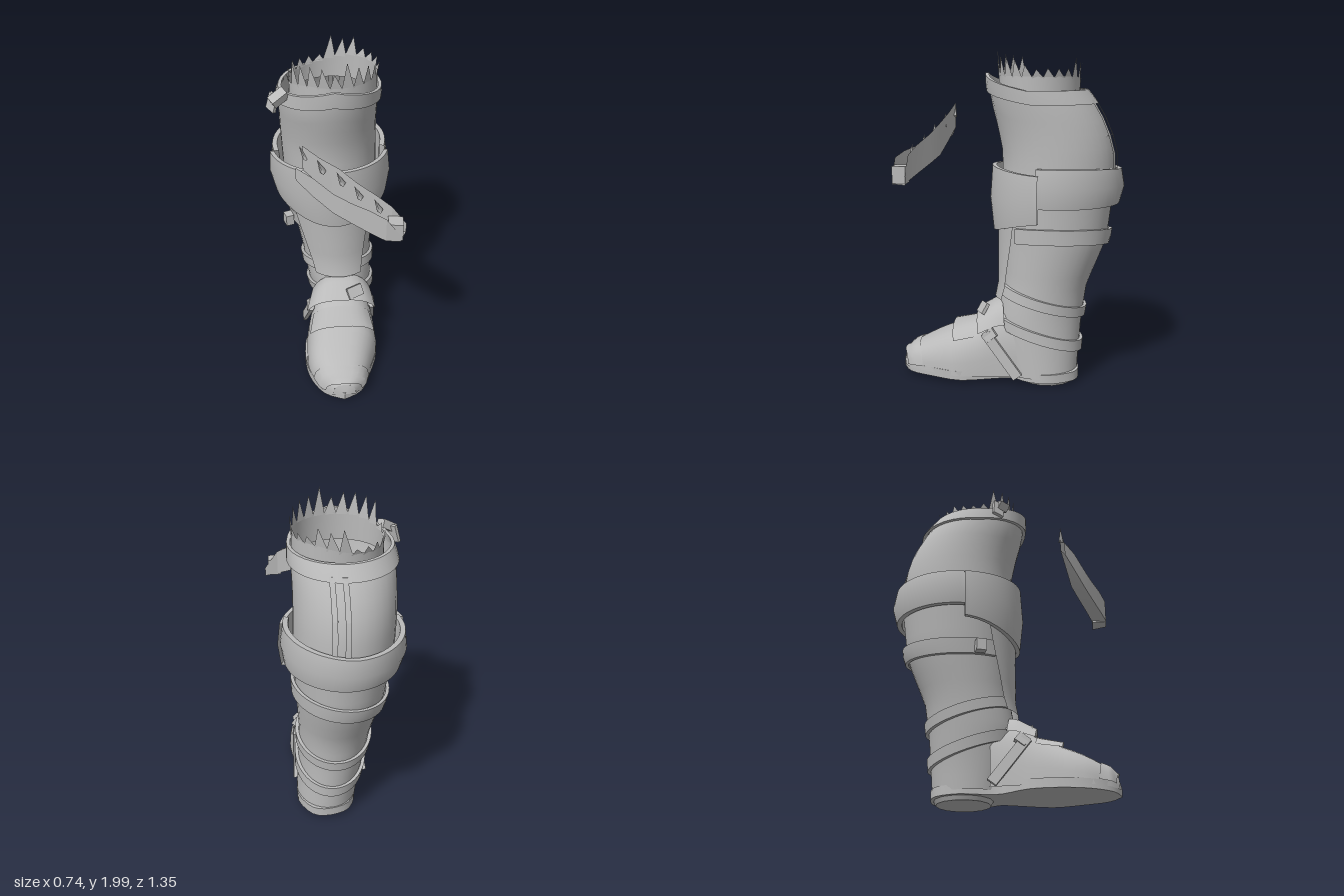
import * as THREE from 'three';
import { toCreasedNormals } from 'three/addons/utils/BufferGeometryUtils.js';

const grey = new THREE.MeshStandardMaterial({ color: 0xbababa, side: THREE.DoubleSide });
grey.name = 'worn grey leather';

let seed = 11;
const rand = () => (seed = (seed * 16807) % 2147483647) / 2147483647;

// Linear lookup in a table whose first column rises
function lookup(table, k) {
  const n = table.length - 1;
  if (k <= table[0][0]) return table[0].slice(1);
  if (k >= table[n][0]) return table[n].slice(1);
  const i = table.findIndex((r) => r[0] > k) - 1;
  const f = (k - table[i][0]) / (table[i + 1][0] - table[i][0]);
  return table[i].slice(1).map((v, j) => v + (table[i + 1][j + 1] - v) * f);
}

// Leg sections: height, front z, back z, right x, left x
const LEG = [
  [0.06, 0.03, -0.41, -0.09, 0.28], [0.2, 0.06, -0.42, -0.11, 0.27], [0.4, 0.08, -0.435, -0.15, 0.26],
  [0.6, 0.04, -0.465, -0.18, 0.26], [0.88, 0.04, -0.58, -0.24, 0.28], [1.2, 0.05, -0.62, -0.285, 0.29],
  [1.4, 0.05, -0.615, -0.295, 0.285], [1.55, 0.08, -0.575, -0.3, 0.28], [1.7, 0.12, -0.49, -0.3, 0.28],
  [1.8, 0.13, -0.41, -0.27, 0.27],
];
function legPoint(y, a, off = 0) {
  const [zf, zb, x0, x1] = lookup(LEG, y);
  return [(x0 + x1) / 2 + ((x1 - x0) / 2 + off) * Math.sin(a), y,
    (zf + zb) / 2 + ((zf - zb) / 2 + off) * Math.cos(a)];
}

// Foot sections: z, centre x, half width, top height
const FOOT = [
  [-0.1, 0.06, 0.18, 0.5], [0.08, 0.05, 0.2, 0.46], [0.2, 0.04, 0.22, 0.37], [0.32, 0.035, 0.225, 0.32],
  [0.42, 0.015, 0.205, 0.28], [0.5, 0.01, 0.18, 0.24], [0.6, 0.015, 0.13, 0.19], [0.65, 0.02, 0.07, 0.14],
];
function footPoint(z, t, off = 0) {
  const [cx, w, h] = lookup(FOOT, z);
  const c = -Math.cos(t), s = Math.sin(t);
  return [cx + (w + off) * Math.sign(c) * Math.abs(c) ** 0.75, 0.06 + (h - 0.06 + off) * Math.max(0, s) ** 0.75, z];
}

// Surface from a point rule over (u, v) steps
function grid(nu, nv, point, crease = 0.6) {
  const pos = [], idx = [];
  for (let i = 0; i <= nu; i++) for (let j = 0; j <= nv; j++) pos.push(...point(i / nu, j / nv));
  for (let i = 0; i < nu; i++) for (let j = 0; j < nv; j++) {
    const a = i * (nv + 1) + j, b = a + nv + 1;
    idx.push(a, b, a + 1, b, b + 1, a + 1);
  }
  const g = new THREE.BufferGeometry();
  g.setAttribute('position', new THREE.Float32BufferAttribute(pos, 3));
  g.setIndex(idx);
  return toCreasedNormals(g, crease);
}

export function createModel() {
  const model = new THREE.Group();
  const add = (name, geo) => {
    const m = new THREE.Mesh(geo, grey);
    m.name = name;
    model.add(m);
    return m;
  };
  const box = (name, size, p, r) => {
    const m = add(name, new THREE.BoxGeometry(...size));
    m.position.set(...p);
    m.rotation.set(...r);
  };
  // Thick strip around the leg from angle a0 to a1, between two height rules, flared at its sides
  const band = (name, a0, a1, low, high, off, thick = 0.02, bulge = 0, flare = 0) =>
    add(name, grid(36, 5, (u, v) => {
      const a = a0 + (a1 - a0) * u, k = Math.round(v * 5) % 5;
      const y = low(a) + (high(a) - low(a)) * [0, 0.5, 1, 1, 0][k];
      const out = off + flare * Math.sin(a) ** 4;
      return legPoint(y, a, k > 2 ? out - thick : out + (k === 1 ? bulge : 0));
    }));
  const PI = Math.PI;

  // Hollow leg shaft
  add('legShaft', grid(36, 22, (u, v) => {
    const a = u * 2 * PI;
    return legPoint(0.06 + v * (1.68 + 0.08 * Math.max(0, Math.cos(a)) ** 4), a);
  }));

  // Foot, toe cap and overlapping instep plates
  add('foot', grid(14, 16, (u, v) => footPoint(-0.07 + u * 0.72, v * PI)));
  add('toeEnd', grid(1, 12, (u, v) => (u ? [0.02, 0.08, 0.67] : footPoint(0.65, v * PI))));
  const plate = (name, z0, z1, t0, off0, off1) => add(name, grid(6, 10, (u, v) => {
    const t = t0 + (PI - 2 * t0) * v;
    return footPoint(z0 + (z1 - z0) * u - 0.03 * Math.cos(t) ** 2, t, off0 + (off1 - off0) * u);
  }, 0.5));
  plate('toeCap', 0.56, 0.66, 0.1, 0.008, 0.02);
  plate('lowerInstepPlate', 0.2, 0.35, 0.75, 0.005, 0.03);
  plate('upperInstepPlate', 0.04, 0.2, 0.7, 0.03, 0.05);

  // Sole with a narrow waist and a heel
  const outline = [[0.02, 0.67], [0.13, 0.61], [0.2, 0.47], [0.26, 0.29], [0.22, 0.1], [0.2, -0.02], [0.26, -0.12],
    [0.28, -0.25], [0.21, -0.39], [0.1, -0.42], [-0.02, -0.38], [-0.08, -0.25], [-0.06, -0.1], [-0.07, 0],
    [-0.17, 0.14], [-0.2, 0.3], [-0.18, 0.47], [-0.1, 0.61]].map((p) => new THREE.Vector2(...p));
  const sole = new THREE.Shape().setFromPoints(new THREE.SplineCurve([...outline, outline[0]]).getPoints(54));
  const soleGeo = new THREE.ExtrudeGeometry(sole, { depth: 0.055, bevelEnabled: false }).rotateX(PI / 2);
  add('sole', toCreasedNormals(soleGeo, 0.6)).position.y = 0.09;
  const heel = add('heel', new THREE.CylinderGeometry(0.18, 0.16, 0.04, 14));
  heel.scale.x = 0.92;
  heel.position.set(0.1, 0.03, -0.23);

  // Shin plate, narrower towards the ankle
  add('shinPlate', grid(16, 6, (u, v) =>
    legPoint(0.52 + 0.48 * v, (-0.95 + 1.75 * u) * (0.7 + 0.3 * v), 0.035)));

  // Calf and ankle straps
  const tilt = (y, side, front) => (a) => y + side * Math.sin(a) + front * Math.cos(a);
  band('calfStrap', 0.8, 2 * PI - 0.8, tilt(0.85, 0.035, 0), tilt(0.94, 0.035, 0), 0.025);
  band('upperAnkleStrap', 0.4, 2 * PI - 0.4, tilt(0.48, 0, 0.07), tilt(0.54, 0, 0.07), 0.02);
  band('lowerAnkleStrap', 0.4, 2 * PI - 0.4, tilt(0.28, 0, 0.08), tilt(0.345, 0, 0.08), 0.02);

  // Diagonal instep straps and their buckles
  for (const s of [1, -1]) {
    const x = s > 0 ? 0.255 : -0.165;
    box('instepStrap', [0.025, 0.33, 0.06], [x, 0.2, 0.04], [0.64, 0, s * 0.1]);
    box('instepBuckle', [0.03, 0.06, 0.07], [x - s * 0.015, 0.32, 0.11], [0.64, 0, s * 0.3]);
  }
  box('ankleBuckle', [0.1, 0.07, 0.02], [0.13, 0.455, 0.16], [-0.6, 0.3, 0.3]);
  box('calfBuckle', [0.05, 0.07, 0.06], [-0.265, 0.85, -0.12], [0, 0.3, 0]);

  // Knee cuff: tall front guard and lower rear wrap
  band('frontCuff', -1.4, 1.3, (a) => 0.93 + 0.09 * Math.sin(a) ** 2,
    (a) => 1.32 - 0.03 * Math.sin(a) ** 2, 0.06, 0.025, 0.015, 0.02);
  band('rearCuff', 1.25, 2 * PI - 1.35, () => 1.1, (a) => 1.3 + 0.03 * Math.max(0, Math.sin(a)),
    0.045, 0.03, 0.015, 0.012);

  // Raised strips on the back of the calf
  for (const a of [2.72, 2.95])
    for (const [y0, y1] of [[1.3, 1.5], [1.5, 1.71]]) band('backStrip', a, a + 0.1, () => y0, () => y1, 0.02);

  // Peaked collar and inner lining, lowest at the rear right
  const peak = (a) => Math.max(0, 1 - Math.abs(a) / 1.4);
  band('collar', -PI, PI, (a) => 1.685 + 0.08 * peak(a), (a) => 1.765 + 0.095 * peak(a), 0.02, 0.02);
  const rim = (a, y, out = 0) => [0.015 + (0.255 + out) * Math.sin(a), y, -0.17 + (0.24 + out) * Math.cos(a)];
  const rimTop = (a) => 1.845 - 0.06 * Math.max(0, Math.cos(a + 2.2));
  add('lining', grid(36, 2, (u, v) => {
    const a = u * 2 * PI;
    return rim(a, 1.68 + v * (rimTop(a) - 1.68));
  }));

  // Ragged fringe of pointed tufts
  const tufts = [], count = 24;
  for (let i = 0; i < count; i++) {
    const a = (i / count) * 2 * PI, step = PI / count;
    const tall = Math.cos(a) > 0.4 || Math.cos(a - 2.8) > 0.93;
    const top = i === 1 ? 2 : rimTop(a) + (tall ? 0.09 + rand() * 0.06 : 0.02 + rand() * 0.05);
    tufts.push(...rim(a - step * 1.1, rimTop(a) - 0.01), ...rim(a + step * 1.1, rimTop(a) - 0.01),
      ...rim(a - step * 0.3, top, 0.01));
  }
  const fringe = new THREE.BufferGeometry();
  fringe.setAttribute('position', new THREE.Float32BufferAttribute(tufts, 3));
  fringe.computeVertexNormals();
  add('fringe', fringe);

  // Knotted fold at the collar's right side
  box('collarKnot', [0.1, 0.05, 0.06], [-0.3, 1.77, 0.0], [0.3, 0.5, 0.4]);
  box('collarKnotTail', [0.02, 0.1, 0.07], [-0.335, 1.73, -0.02], [0.2, 0.6, -0.3]);

  // Detached strap piece: open trough with a ragged upper edge
  // Stations: x, z, bottom, front top, back top
  const strap = [[-0.21, 0.37, 1.47, 1.55, 1.67], [-0.12, 0.42, 1.4, 1.52, 1.61], [-0.02, 0.47, 1.335, 1.46, 1.56],
    [0.07, 0.52, 1.3, 1.43, 1.5], [0.17, 0.575, 1.265, 1.41, 1.45], [0.25, 0.615, 1.24, 1.38, 1.4],
    [0.33, 0.62, 1.235, 1.27, 1.29]];
  add('detachedStrap', grid(6, 3, (u, v) => {
    const [x, z, low, front, back] = strap[Math.round(u * 6)];
    const k = Math.round(v * 3), w = 0.012 + 0.03 * Math.min(1, u * 3);
    return [x + (k < 2 ? -0.02 : 0.02), [front, low, low + 0.05 * (1 - u), back][k], k < 2 ? z + w : z - w];
  }, 0.4));
  box('detachedStrapEnd', [0.08, 0.1, 0.08], [0.285, 1.29, 0.615], [0, -0.1, 0]);

  // Jagged slivers along the strap's upper edge
  for (const [x, z, , , top] of strap.slice(0, 5)) {
    const sliver = add('strapSliver', new THREE.ConeGeometry(0.02, 0.09, 3));
    sliver.position.set(x + 0.02, top - 0.04, z - 0.01);
    sliver.rotation.z = 0.4;
  }
  return model;
}
